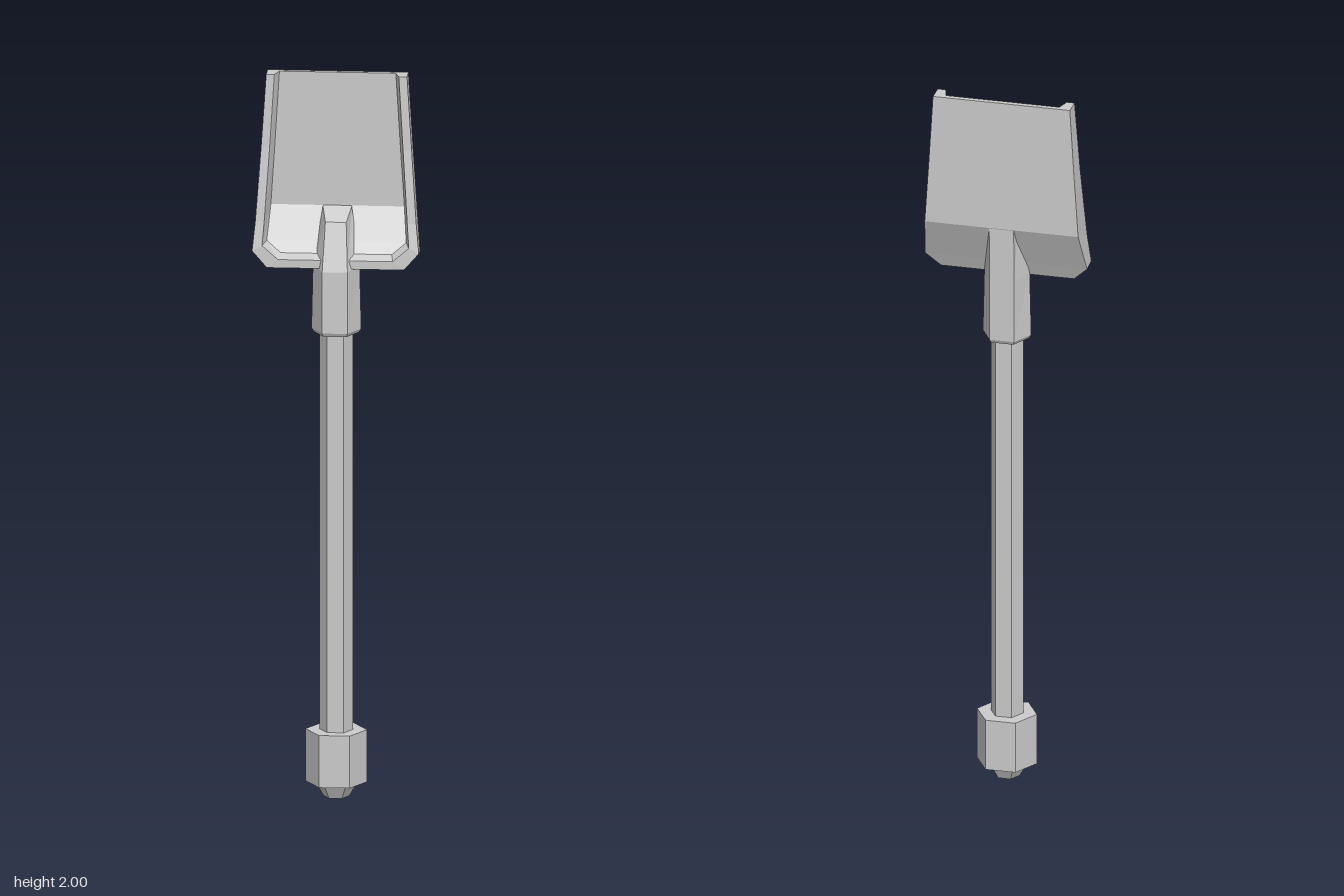
import * as THREE from 'three';

const material = new THREE.MeshStandardMaterial({ color: 0xcccccc, flatShading: true });

function addMesh(group, name, geometry) {
  const mesh = new THREE.Mesh(geometry, material);
  mesh.name = name;
  group.add(mesh);
  return mesh;
}

// Six-sided prism with corners on the x axis
function hexPrism(rTop, rBottom, y0, y1) {
  return new THREE.CylinderGeometry(rTop, rBottom, y1 - y0, 6, 1, false, Math.PI / 2)
    .translate(0, (y0 + y1) / 2, 0);
}

// Completes a half ring (+x side, back to front) with its mirror image
const mirrored = (half) => [...half, ...half.map(([x, y, z]) => [-x, y, z]).reverse()];

// Quads joining each edge of the half ring to its mirror image
function crossQuads(n) {
  const quads = [];
  for (let i = 0; i < n / 2 - 1; i++) quads.push([i, i + 1, n - 2 - i, n - 1 - i]);
  return quads;
}

// Skins half rings listed from top to bottom and closes both ends
function loft(halves, topQuads) {
  const rings = halves.map(mirrored);
  const n = rings[0].length;
  const pos = [];
  const quad = (a, b, c, d) => pos.push(...a, ...b, ...c, ...a, ...c, ...d);
  for (let r = 0; r < rings.length - 1; r++) {
    const p = rings[r], q = rings[r + 1];
    for (let i = 0; i < n; i++) {
      const j = (i + 1) % n;
      quad(p[i], p[j], q[j], q[i]);
    }
  }
  const top = rings[0], bottom = rings[rings.length - 1];
  for (const f of topQuads) quad(...f.map((i) => top[i]));
  for (const f of crossQuads(n)) quad(...f.map((i) => bottom[i]));
  const geometry = new THREE.BufferGeometry();
  geometry.setAttribute('position', new THREE.Float32BufferAttribute(pos, 3));
  geometry.computeVertexNormals();
  return geometry;
}

export function createModel() {
  const group = new THREE.Group();
  group.name = 'shovel';

  // Handle with its end knob
  addMesh(group, 'shaft', hexPrism(0.045, 0.045, 0.1, 1.35));
  addMesh(group, 'pommel', hexPrism(0.083, 0.083, 0.04, 0.185));
  addMesh(group, 'pommelTip', hexPrism(0.058, 0.035, 0, 0.04));

  // Dished blade: back edge, outer rim, inner rim, floor edge
  const blade = [
    [[0.19, 2, -0.062], [0.19, 2, -0.01], [0.168, 2, -0.01], [0.157, 2, -0.047]],
    [[0.202, 1.8, -0.062], [0.203, 1.8, 0], [0.18, 1.8, 0], [0.169, 1.8, -0.047]],
    [[0.213, 1.63, -0.062], [0.217, 1.6, 0.022], [0.193, 1.6, 0.022], [0.18, 1.63, -0.047]],
    [[0.225, 1.515, -0.011], [0.225, 1.52, 0.035], [0.198, 1.535, 0.035], [0.188, 1.54, -0.005]],
    [[0.185, 1.475, 0.006], [0.185, 1.475, 0.038], [0.155, 1.498, 0.038], [0.15, 1.51, 0.01]],
  ];
  addMesh(group, 'blade', loft(blade, [[3, 2, 1, 0], [7, 6, 5, 4], [0, 7, 4, 3]]));

  // Socket tapering up into the blade: back, side and front corners
  const socket = [
    [[0.034, 1.63, -0.061], [0.039, 1.63, -0.038], [0.028, 1.6, 0.02]],
    [[0.034, 1.48, -0.06], [0.063, 1.48, 0], [0.034, 1.47, 0.057]],
    [[0.034, 1.3, -0.059], [0.067, 1.3, 0], [0.034, 1.3, 0.059]],
    [[0.031, 1.29, -0.054], [0.061, 1.29, 0], [0.031, 1.29, 0.054]],
  ];
  addMesh(group, 'socket', loft(socket, crossQuads(6).map((f) => f.reverse())));

  return group;
}
